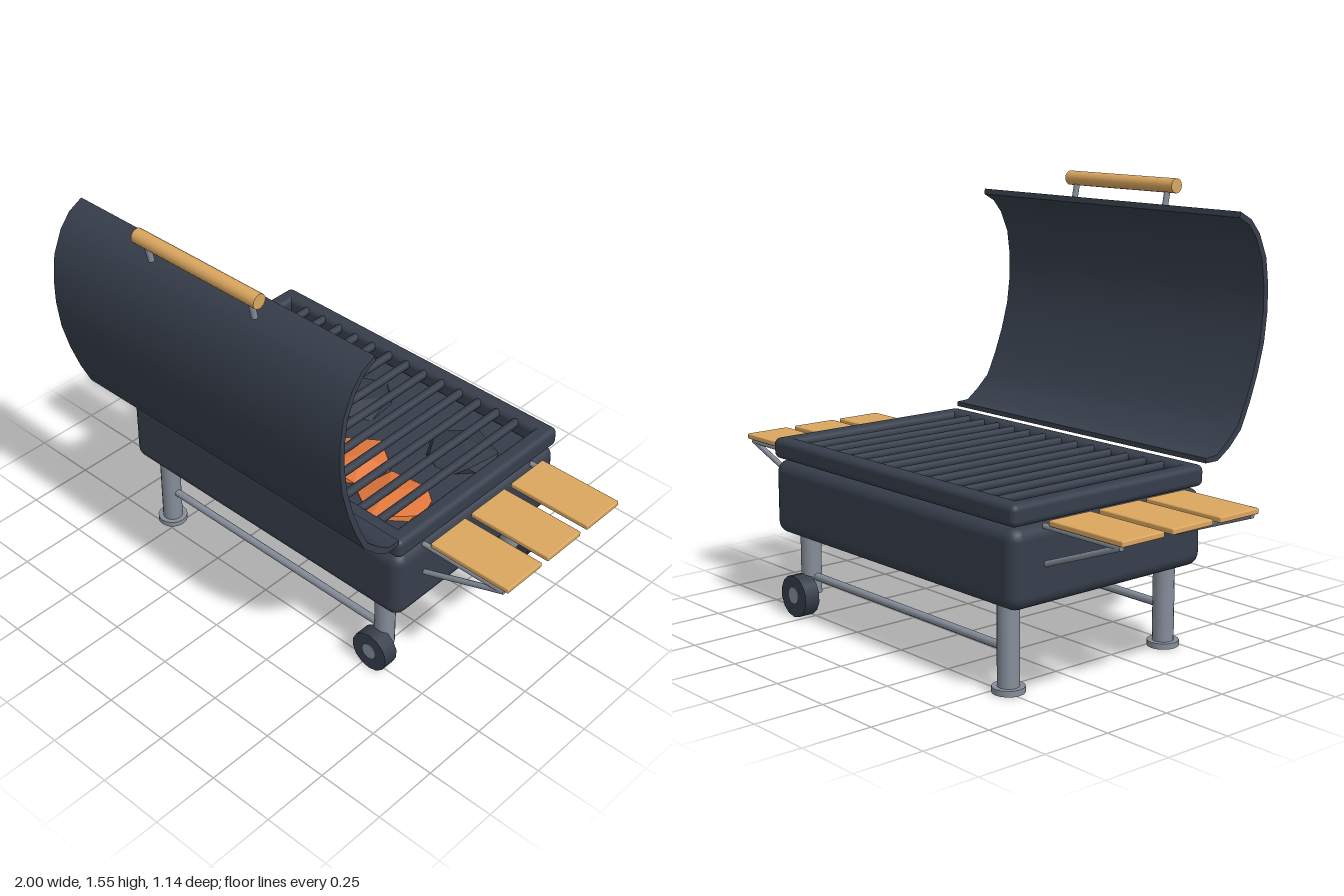
import * as THREE from 'three';
import { toCreasedNormals } from 'three/addons/utils/BufferGeometryUtils.js';
import { RoundedBoxGeometry } from 'three/addons/geometries/RoundedBoxGeometry.js';

function material(name, color, flatShading = false) {
  const m = new THREE.MeshStandardMaterial({ color, flatShading });
  m.name = name;
  return m;
}

export function createModel() {
  const iron = material('dark iron', 0x363e4b);
  const steel = material('grey steel', 0x868e9a);
  const wood = material('light wood', 0xdba75f);
  const ember = material('glowing ember', 0xe2773a, true);
  const coal = material('dark coal', 0x343b47, true);

  const model = new THREE.Group();
  model.name = 'barbecue';

  function add(name, geometry, mat, x = 0, y = 0, z = 0) {
    const mesh = new THREE.Mesh(geometry, mat);
    mesh.name = name;
    mesh.position.set(x, y, z);
    model.add(mesh);
    return mesh;
  }

  // Cylinder running between two points
  function rod(name, a, b, radius, mat, sides = 12) {
    const from = new THREE.Vector3(...a), to = new THREE.Vector3(...b);
    const dir = to.clone().sub(from);
    const mesh = add(name, new THREE.CylinderGeometry(radius, radius, dir.length(), sides), mat);
    mesh.position.copy(from).add(to).multiplyScalar(0.5);
    mesh.quaternion.setFromUnitVectors(new THREE.Vector3(0, 1, 0), dir.normalize());
    return mesh;
  }

  const midZ = -0.143;

  // Firebox
  add('firebox', new RoundedBoxGeometry(1.3, 0.268, 0.845, 3, 0.045), iron, 0, 0.425, midZ);

  // Rim: four rounded beams around the grate
  for (const s of [-1, 1]) {
    add('rimLong', new RoundedBoxGeometry(1.3, 0.074, 0.065, 3, 0.022), iron, 0, 0.6, midZ + s * 0.39);
    add('rimShort', new RoundedBoxGeometry(0.065, 0.074, 0.845, 3, 0.022), iron, s * 0.6175, 0.6, midZ);
  }

  // Grate bars
  for (let i = -6; i <= 6; i++) {
    rod('grateBar', [i * 0.0845, 0.617, -0.52], [i * 0.0845, 0.617, 0.23], 0.016, iron, 8);
  }

  // Flattened coals lying below the grate
  const lumps = [
    [-0.28, 0.016, ember], [0.19, -0.015, ember], [0.43, 0.045, ember],
    [-0.45, -0.29, coal], [-0.04, -0.29, coal], [0.43, -0.3, coal], [-0.12, -0.14, coal],
  ];
  lumps.forEach(([x, z, mat], i) => {
    const g = new THREE.IcosahedronGeometry(0.145, 0);
    g.rotateX(0.5 + i * 0.7);
    g.rotateY(i * 1.3);
    g.scale(1, 0.35, 1);
    add(mat === ember ? 'glowingCoal' : 'darkCoal', g, mat, x, 0.553, z);
  });

  // Open lid: curved sheet given by its outer and inner edge, as (z, y)
  const outer = [
    [0.283, 0.64], [0.34, 0.64], [0.398, 0.678], [0.452, 0.731], [0.493, 0.817], [0.53, 0.916],
    [0.558, 1.018], [0.571, 1.121], [0.571, 1.211], [0.558, 1.306], [0.522, 1.388],
    [0.48, 1.437], [0.425, 1.466],
  ];
  const inner = [
    [0.283, 0.657], [0.335, 0.66], [0.384, 0.697], [0.436, 0.746], [0.473, 0.825], [0.509, 0.92],
    [0.537, 1.02], [0.55, 1.122], [0.55, 1.209], [0.538, 1.298], [0.505, 1.375],
    [0.469, 1.42], [0.422, 1.446],
  ];
  const sheet = new THREE.Shape([...outer, ...inner.reverse()].map(p => new THREE.Vector2(...p)));
  const lid = new THREE.ExtrudeGeometry(sheet, { depth: 1.3, bevelEnabled: false });
  lid.rotateY(-Math.PI / 2);
  lid.translate(0.65, 0, 0);
  add('lid', toCreasedNormals(lid, 0.75), iron);

  // Lid handle with its two posts
  rod('lidHandle', [-0.27, 1.524, 0.517], [0.27, 1.524, 0.517], 0.026, wood, 16);
  for (const x of [-0.23, 0.23]) {
    rod('handlePost', [x, 1.44, 0.499], [x, 1.52, 0.516], 0.011, steel, 10);
  }

  // Legs: feet on one side, wheels on the other
  for (const [z, out] of [[0.205, 1], [-0.49, -1]]) {
    rod('footedLeg', [-0.54, 0, z], [-0.54, 0.31, z], 0.037, steel, 16);
    rod('foot', [-0.54, 0, z], [-0.54, 0.02, z], 0.055, steel, 16);
    rod('wheeledLeg', [0.535, 0.08, z], [0.535, 0.31, z], 0.037, steel, 16);
    const w = z + out * 0.05;
    rod('wheel', [0.535, 0.077, w - 0.029], [0.535, 0.077, w + 0.029], 0.076, iron, 14);
    rod('wheelHub', [0.535, 0.08, w - 0.032], [0.535, 0.08, w + 0.032], 0.031, steel, 12);
    rod('crossBar', [-0.54, 0.143, z], [0.535, 0.143, z], 0.014, steel, 10);
  }

  // Side shelves: three slats on two triangular brackets each
  for (const side of [-1, 1]) {
    for (const z of [-0.358, -0.145, 0.064]) {
      add('shelfSlat', new RoundedBoxGeometry(0.324, 0.02, 0.177, 2, 0.005), wood, side * 0.838, 0.568, z);
    }
    for (const z of [-0.43, 0.145]) {
      rod('shelfArm', [side * 0.64, 0.55, z], [side * 0.98, 0.55, z], 0.01, steel, 8);
      rod('shelfBrace', [side * 0.64, 0.427, z], [side * 0.975, 0.55, z], 0.01, steel, 8);
    }
  }

  return model;
}
